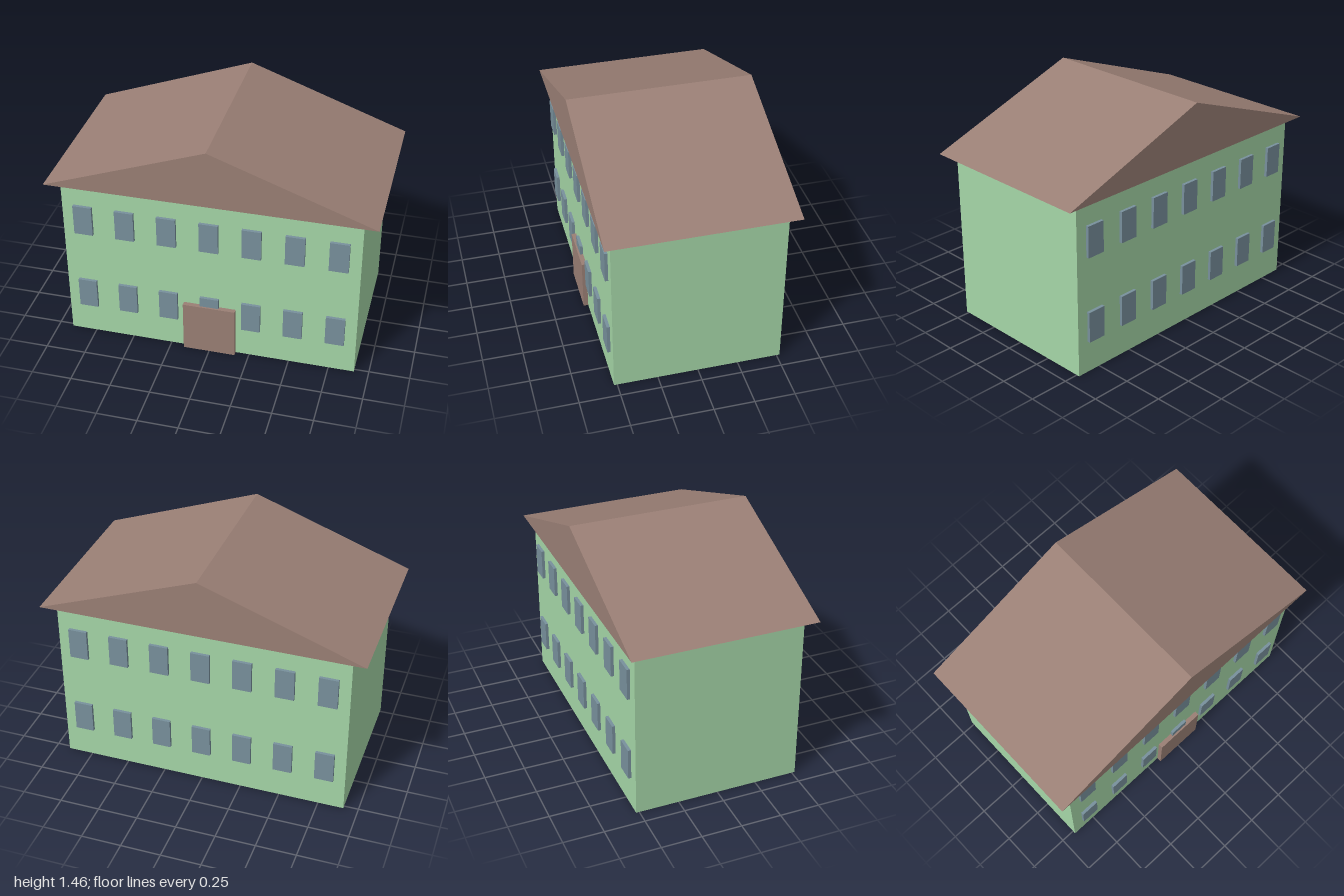
import * as THREE from 'three';

const material = (name, color) => {
  const m = new THREE.MeshStandardMaterial({ color });
  m.name = name;
  return m;
};

export function createModel() {
  const house = new THREE.Group();
  house.name = 'house';
  const wallGreen = material('wall green', 0xa5d6a7);
  const roofBrown = material('roof brown', 0x9a7f75);
  const windowBlue = material('window blue grey', 0x78909c);

  const addBox = (name, mat, [w, h, d], [x, y, z]) => {
    const mesh = new THREE.Mesh(new THREE.BoxGeometry(w, h, d), mat);
    mesh.name = name;
    mesh.position.set(x, y, z);
    house.add(mesh);
  };

  // Main block
  addBox('walls', wallGreen, [1.82, 1.1, 1.04], [0, 0.55, 0]);

  // Gabled roof with overhanging eaves, ridge running front to back
  const gable = new THREE.Shape([
    new THREE.Vector2(-1, 1.095),
    new THREE.Vector2(1, 1.095),
    new THREE.Vector2(0, 1.457),
  ]);
  const roofGeometry = new THREE.ExtrudeGeometry(gable, { depth: 1.14, bevelEnabled: false });
  roofGeometry.translate(0, 0, -0.57);
  const roof = new THREE.Mesh(roofGeometry, roofBrown);
  roof.name = 'roof';
  house.add(roof);

  // Two rows of seven windows on the front and the back
  for (const side of [1, -1]) {
    for (const y of [0.302, 0.849]) {
      for (let i = -3; i <= 3; i++) {
        addBox(side > 0 ? 'frontWindow' : 'backWindow', windowBlue,
          [0.117, 0.197, 0.04], [i * 0.26, y, side * 0.519]);
      }
    }
  }

  // Front door
  addBox('door', roofBrown, [0.327, 0.337, 0.06], [0, 0.1685, 0.52]);

  return house;
}
